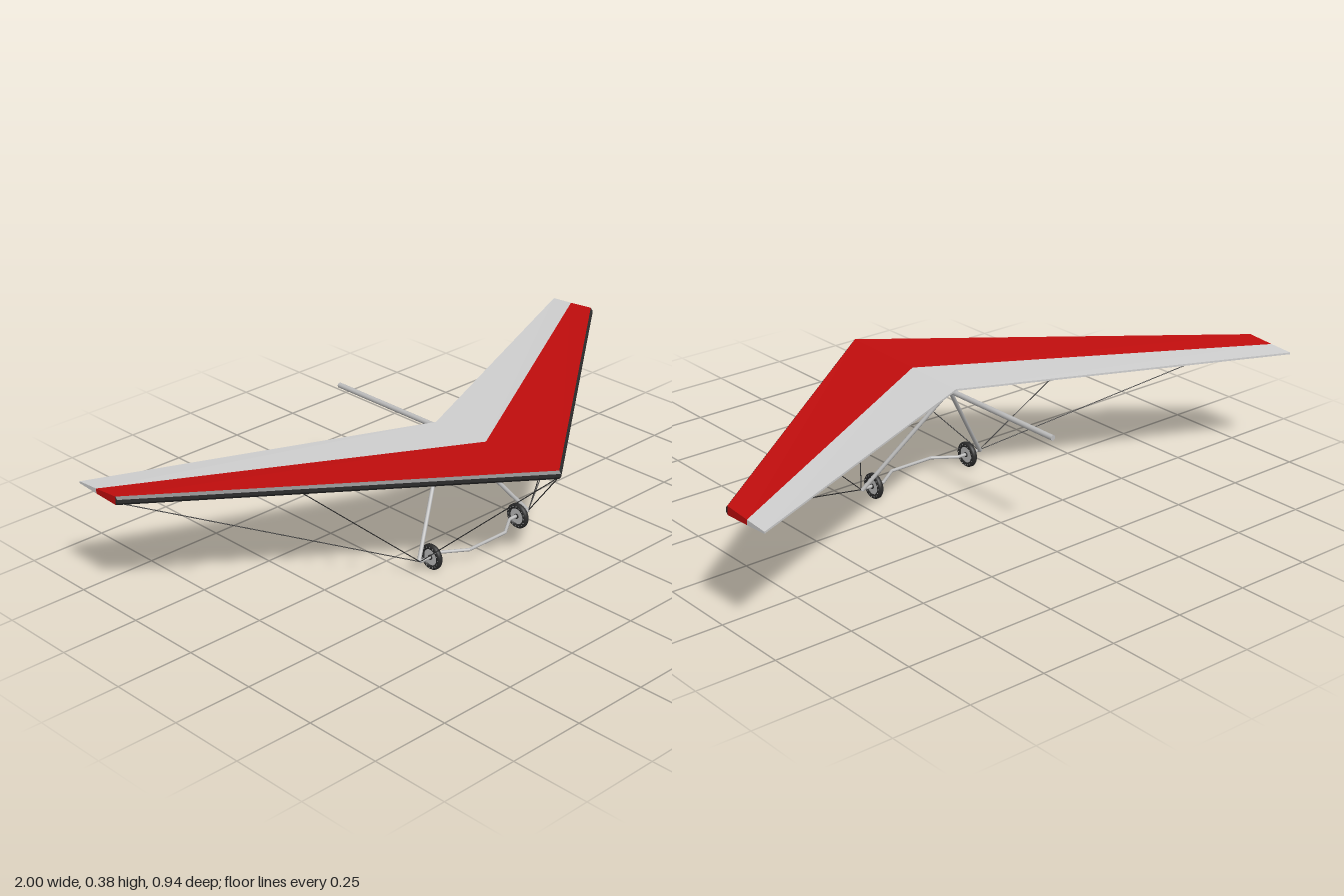
import * as THREE from 'three';

const mat = (name, color) => {
  const m = new THREE.MeshStandardMaterial({ color });
  m.name = name;
  return m;
};

const lerp = THREE.MathUtils.lerp;
const V = (x, y, z) => new THREE.Vector3(x, y, z);

// Swept wing profile: z at the centre, z at the tip, y
const wing = {
  noseTop: [0.47, -0.295, 0.37],
  noseLow: [0.47, -0.295, 0.359],
  frontTop: [0.462, -0.303, 0.378],
  frontLow: [0.462, -0.303, 0.351],
  midTop: [0.17, -0.393, 0.371],
  midLow: [0.17, -0.393, 0.355],
  rearTop: [-0.04, -0.472, 0.366],
  rearLow: [-0.04, -0.472, 0.36],
};
const wingPoint = (key, x) => {
  const [root, tip, y] = wing[key];
  return V(x, y, lerp(root, tip, Math.abs(x)));
};

// Skins the given runs of profile points from tip to tip and caps both tips
function wingPanel(name, material, runs) {
  const pos = [];
  const tri = (...pts) => pts.forEach((p) => pos.push(p.x, p.y, p.z));
  for (const run of runs) {
    for (let i = 0; i < run.length - 1; i++) {
      for (const [xa, xb] of [[-1, 0], [0, 1]]) {
        const a = wingPoint(run[i], xa), b = wingPoint(run[i], xb);
        const c = wingPoint(run[i + 1], xb), d = wingPoint(run[i + 1], xa);
        tri(a, b, c);
        tri(a, c, d);
      }
    }
  }
  const loop = runs.flat();
  for (let i = 1; i < loop.length - 1; i++) {
    const corners = [loop[0], loop[i], loop[i + 1]];
    tri(...corners.map((k) => wingPoint(k, -1)));
    tri(...corners.reverse().map((k) => wingPoint(k, 1)));
  }
  const geo = new THREE.BufferGeometry();
  geo.setAttribute('position', new THREE.Float32BufferAttribute(pos, 3));
  geo.computeVertexNormals();
  const mesh = new THREE.Mesh(geo, material);
  mesh.name = name;
  return mesh;
}

// Straight round bar between two points
function rod(name, a, b, radius, material, sides = 12) {
  const dir = b.clone().sub(a);
  const mesh = new THREE.Mesh(new THREE.CylinderGeometry(radius, radius, dir.length(), sides), material);
  mesh.position.copy(a).add(b).multiplyScalar(0.5);
  mesh.quaternion.setFromUnitVectors(V(0, 1, 0), dir.normalize());
  mesh.name = name;
  return mesh;
}

export function createModel() {
  const red = mat('red sail', 0xc00d0d);
  const grey = mat('pale grey sail', 0xcfcfcf);
  const black = mat('black', 0x2b2b2b);
  const metal = mat('aluminium', 0xbcbcbc);

  const model = new THREE.Group();
  model.name = 'hangGlider';

  // Sail in three bands
  model.add(
    wingPanel('leadingEdge', black, [['frontLow', 'noseLow', 'noseTop', 'frontTop']]),
    wingPanel('frontSail', red, [['frontTop', 'midTop'], ['midLow', 'frontLow']]),
    wingPanel('rearSail', grey, [['midTop', 'rearTop', 'rearLow', 'midLow']]),
  );

  // Keel tube under the sail
  model.add(rod('keel', V(0, 0.3515, 0.225), V(0, 0.3515, -0.472), 0.0085, metal, 16));

  // Control frame base bar, bowed forward in the middle
  const baseY = 0.042, baseZ = 0.13;
  const bar = [[-0.235, 0], [-0.15, 0], [-0.078, 0.05], [0.078, 0.05], [0.15, 0], [0.235, 0]]
    .map(([x, dz]) => V(x, baseY, baseZ + dz));
  const path = new THREE.CurvePath();
  for (let i = 0; i < bar.length - 1; i++) path.add(new THREE.LineCurve3(bar[i], bar[i + 1]));
  const baseBar = new THREE.Group();
  baseBar.name = 'baseBar';
  path.curves.forEach((c) => baseBar.add(rod('baseBarSection', c.v1, c.v2, 0.005, metal)));
  bar.slice(1, -1).forEach((p) => {
    const joint = new THREE.Mesh(new THREE.SphereGeometry(0.005, 12, 8), metal);
    joint.position.copy(p);
    joint.name = 'baseBarBend';
    baseBar.add(joint);
  });
  model.add(baseBar);

  // Wheel shapes, with the axle along y
  const tyreProfile = [
    [0.026, -0.007], [0.033, -0.009], [0.038, -0.008], [0.041, -0.004],
    [0.041, 0.004], [0.038, 0.008], [0.033, 0.009], [0.026, 0.007], [0.026, -0.007],
  ].map(([r, y]) => new THREE.Vector2(r, y));
  const tyreGeo = new THREE.LatheGeometry(tyreProfile, 32);
  const rimGeo = new THREE.CylinderGeometry(0.0262, 0.0262, 0.01, 32);
  const hubGeo = new THREE.CylinderGeometry(0.008, 0.008, 0.016, 16);
  const studGeo = new THREE.CylinderGeometry(0.0017, 0.0017, 0.0188, 6);

  for (const side of [-1, 1]) {
    const label = side > 0 ? 'left' : 'right';
    const corner = V(side * 0.235, baseY, baseZ);

    // Upright of the control frame
    model.add(rod(`${label}Downtube`, V(0, 0.352, -0.008), corner.clone().setZ(0.125), 0.0065, metal));

    // Rigging wires to the nose, mid span and tip
    const anchors = {
      Nose: V(0, 0.355, 0.46),
      Mid: V(side * 0.585, 0.354, 0.015),
      Tip: V(side * 0.985, 0.354, -0.29),
    };
    for (const [key, p] of Object.entries(anchors)) {
      model.add(rod(`${label}${key}Wire`, corner, p, 0.0016, black, 6));
    }

    // Wheel
    const wheel = new THREE.Group();
    wheel.name = `${label}Wheel`;
    const add = (name, geo, material) => {
      const m = new THREE.Mesh(geo, material);
      m.name = name;
      wheel.add(m);
      return m;
    };
    add('tyre', tyreGeo, black);
    add('rim', rimGeo, metal);
    add('hub', hubGeo, black);
    for (let i = 0; i < 16; i++) {
      const a = (i / 16) * Math.PI * 2;
      add('stud', studGeo, metal).position.set(Math.cos(a) * 0.033, 0, Math.sin(a) * 0.033);
    }
    wheel.rotation.z = Math.PI / 2;
    wheel.position.set(side * 0.187, 0.041, baseZ);
    model.add(wheel);
  }
  return model;
}
